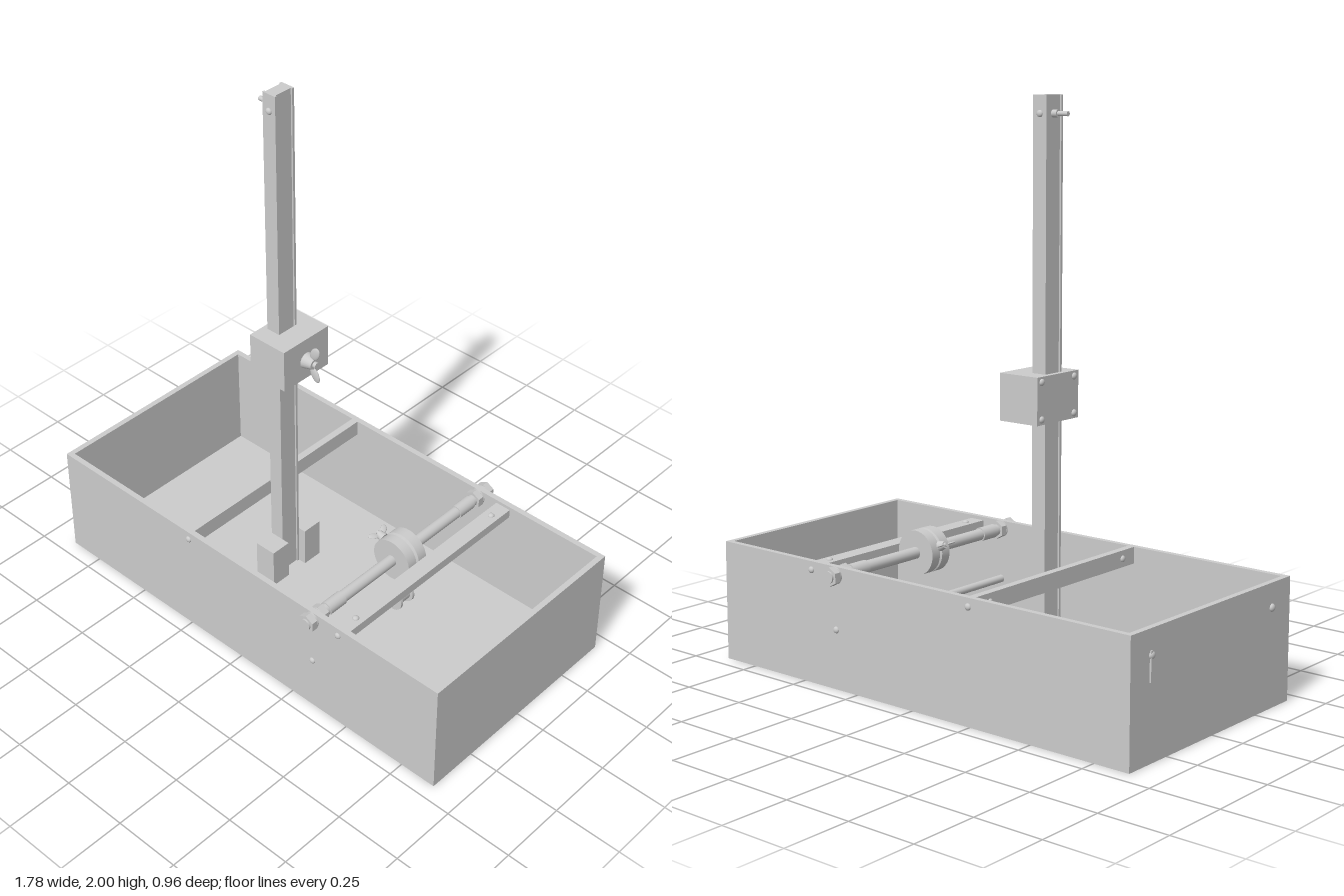
import * as THREE from 'three';

export function createModel() {
  const root = new THREE.Group();
  const mat = new THREE.MeshStandardMaterial({ color: 0xcccccc });
  const flat = new THREE.MeshStandardMaterial({ color: 0xcccccc, flatShading: true });

  const add = (name, geo, x = 0, y = 0, z = 0, parent = root, m = mat) => {
    const mesh = new THREE.Mesh(geo, m);
    mesh.name = name;
    mesh.position.set(x, y, z);
    parent.add(mesh);
    return mesh;
  };
  // box given by its extents
  const box = (name, x0, x1, y0, y1, z0, z1) =>
    add(name, new THREE.BoxGeometry(x1 - x0, y1 - y0, z1 - z0), (x0 + x1) / 2, (y0 + y1) / 2, (z0 + z1) / 2);
  // cylinder along z or x
  const rodZ = (name, r, z0, z1, x, y, sides = 24) => {
    const g = new THREE.CylinderGeometry(r, r, z1 - z0, sides).rotateX(Math.PI / 2);
    return add(name, g, x, y, (z0 + z1) / 2, root, sides < 8 ? flat : mat);
  };
  const rodX = (name, r, x0, x1, y, z) =>
    add(name, new THREE.CylinderGeometry(r, r, x1 - x0, 16).rotateZ(Math.PI / 2), (x0 + x1) / 2, y, z);
  // domed screw head whose dome points along dir
  const screw = (x, y, z, dir, r = 0.012) => {
    const g = new THREE.SphereGeometry(r, 14, 6, 0, Math.PI * 2, 0, Math.PI / 2).scale(1, 0.7, 1);
    add('screwHead', g, x, y, z).quaternion.setFromUnitVectors(
      new THREE.Vector3(0, 1, 0), new THREE.Vector3(...dir));
  };
  // wing screw pointing along +x, wings spread along y
  const wingScrew = (name, x, y, z, s) => {
    const g = new THREE.Group();
    g.name = name;
    add('hub', new THREE.CylinderGeometry(0.017, 0.026, 0.034, 20).rotateZ(-Math.PI / 2), 0.017, 0, 0, g);
    add('shaft', new THREE.CylinderGeometry(0.01, 0.01, 0.05, 14).rotateZ(Math.PI / 2), 0.02, 0, 0, g);
    for (const side of [-1, 1]) {
      const wing = add('wing', new THREE.SphereGeometry(1, 16, 10).scale(0.016, 0.027, 0.005), 0.036, side * 0.037, 0, g);
      wing.rotation.z = -side * 0.5;
    }
    g.position.set(x, y, z);
    g.scale.setScalar(s);
    root.add(g);
    return g;
  };

  // open trough
  const X0 = -0.885, X1 = 0.89, Z = 0.443, H = 0.43, T = 0.021;
  box('troughFloor', X0, X1, 0, 0.025, -Z, Z);
  box('leftEnd', X1 - T, X1, 0.025, H, -Z, Z);
  box('rightEnd', X0, X0 + T, 0.025, H, -Z, Z);
  box('frontWall', X0 + T, X1 - T, 0.025, H, Z - T, Z);
  box('backWall', X0 + T, X1 - T, 0.025, H, -Z, -Z + T);

  // cross members
  const ZI = Z - T;
  box('mastCrossbar', -0.262, -0.235, 0.37, H, -ZI, ZI);
  box('flatCrossbar', 0.43, 0.49, 0.385, 0.418, -ZI, ZI);
  for (const s of [-1, 1]) {
    screw(-0.262, 0.4, s * 0.355, [-1, 0, 0]);
    screw(0.46, 0.418, s * 0.355, [0, 1, 0]);
    for (const [x, y] of [[-0.245, 0.4], [0.46, 0.4], [0.345, 0.21]]) screw(x, y, s * Z, [0, 0, s]);
    screw(X0, 0.345, s * 0.335, [-1, 0, 0], 0.014);
  }
  box('endStrip', X0 - 0.006, X0, 0.26, 0.36, -0.345, -0.335);

  // mast: core with slightly proud side rails
  box('mastCore', -0.229, -0.186, 0.025, 2, -0.035, 0.035);
  for (const s of [-1, 1]) {
    box('mastRail', -0.235, -0.18, 0.025, 2, s > 0 ? 0.034 : -0.043, s > 0 ? 0.043 : -0.034);
    screw(-0.208, 1.94, s * 0.043, [0, 0, s]);
    box('mastFoot', -0.235, -0.15, 0.025, 0.18, s > 0 ? 0.043 : -0.122, s > 0 ? 0.122 : -0.043);
  }
  rodX('topPin', 0.008, -0.29, -0.225, 1.94, 0);
  rodX('topPinCollar', 0.013, -0.25, -0.226, 1.94, 0);

  // sliding clamp block around the mast
  for (const s of [-1, 1])
    box('clampCheek', -0.235, -0.18, 0.935, 1.095, s > 0 ? 0.043 : -0.108, s > 0 ? 0.108 : -0.043);
  box('clampBody', -0.18, -0.095, 0.935, 1.095, -0.108, 0.108);
  box('clampPlate', -0.254, -0.235, 0.935, 1.095, -0.108, 0.108);
  for (const y of [0.953, 1.077]) for (const z of [-0.085, 0.085]) screw(-0.254, y, z, [-1, 0, 0]);
  wingScrew('clampWingScrew', -0.096, 1.01, 0, 1.15);

  // upper axle with nuts and spacers
  const AX = 0.345, AY = 0.4;
  rodZ('axle', 0.021, -0.48, 0.48, AX, AY);
  for (const s of [-1, 1]) {
    const pair = (name, r, a, b, n) => rodZ(name, r, s > 0 ? a : -b, s > 0 ? b : -a, AX, AY, n);
    pair('outerNut', 0.034, 0.45, 0.474, 6);
    pair('outerWasher', 0.03, Z, 0.45);
    pair('innerNut', 0.034, 0.392, 0.416, 6);
    pair('innerWasher', 0.031, 0.416, ZI);
    pair('axleSleeve', 0.025, 0.3, 0.376);
  }

  // grooved drum
  const drum = [[0, -0.045], [0.08, -0.045], [0.08, -0.006], [0.068, 0], [0.08, 0.006], [0.08, 0.045], [0, 0.045]];
  // each segment gets its own lathe so the rims stay sharp
  for (let i = 0; i < drum.length - 1; i++) {
    const pts = [drum[i], drum[i + 1]].map(p => new THREE.Vector2(...p));
    add('drum', new THREE.LatheGeometry(pts, 40).rotateX(Math.PI / 2), AX, AY, 0);
  }
  const drumScrew = wingScrew('drumWingScrew', 0.269, 0.428, 0, 0.72);
  drumScrew.rotation.z = Math.PI - 0.36;
  drumScrew.rotation.order = 'ZXY';
  drumScrew.rotation.x = Math.PI / 2;

  // lower guide rod with roller
  rodZ('guideRod', 0.014, -ZI, ZI, AX, 0.21);
  rodZ('guideRoller', 0.03, -0.035, 0.035, AX, 0.21);
  for (const z of [-0.035, 0.025]) rodZ('rollerFlange', 0.042, z, z + 0.01, AX, 0.21);

  return root;
}
